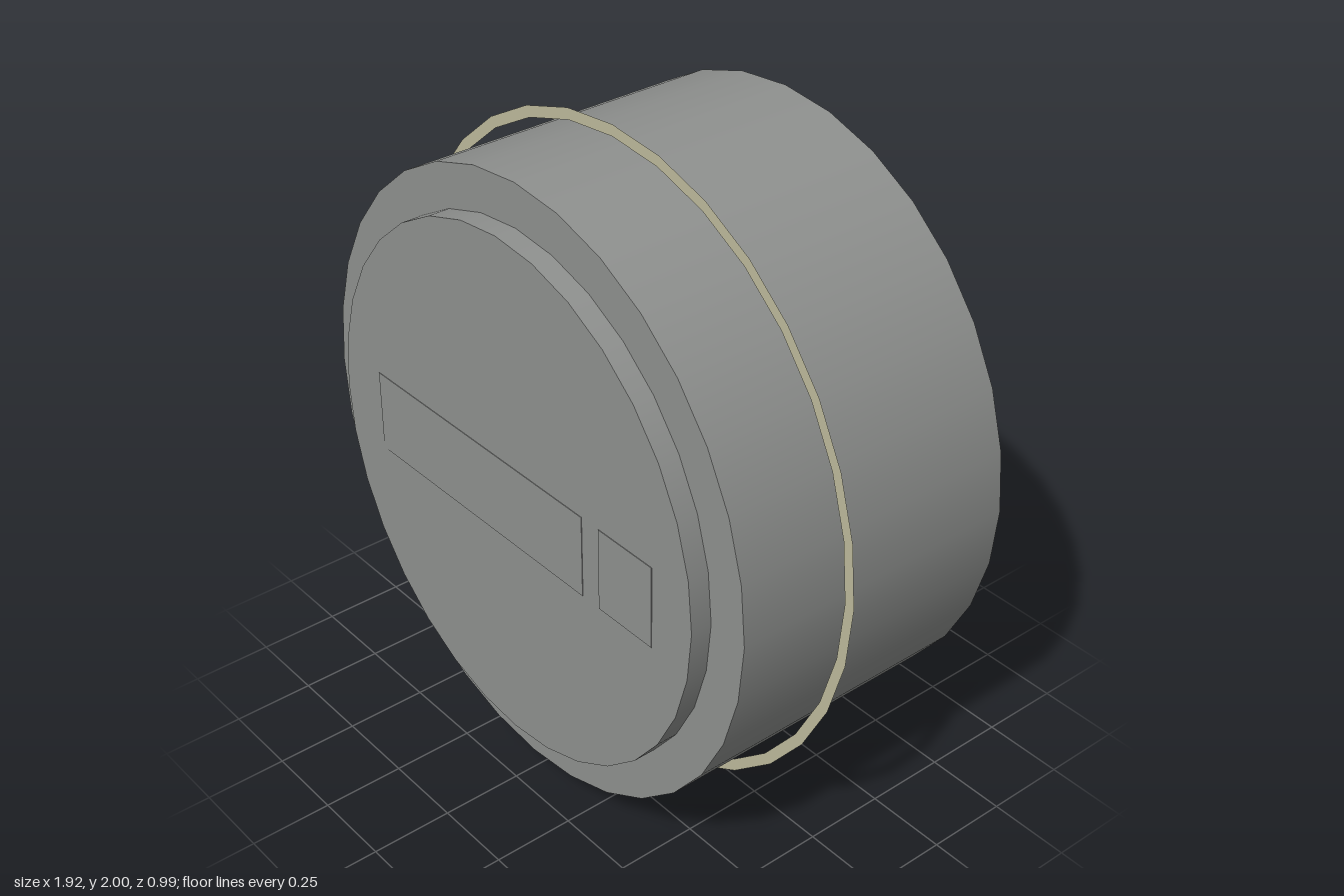
import * as THREE from 'three';

const SIDES = 32;

export function createModel() {
  const model = new THREE.Group();
  const grey = new THREE.MeshStandardMaterial({ color: 0x8f918f });
  grey.name = 'grey';
  const tan = new THREE.MeshStandardMaterial({ color: 0xbdba9c, side: THREE.DoubleSide });
  tan.name = 'tan';

  const add = (name, geometry, material) => {
    const mesh = new THREE.Mesh(geometry, material);
    mesh.name = name;
    model.add(mesh);
    return mesh;
  };

  // Slightly oval drum lying along z, between two depths
  const drum = (name, rx, ry, back, front) => {
    const geometry = new THREE.CylinderGeometry(1, 1, front - back, SIDES);
    geometry.rotateX(Math.PI / 2);
    geometry.scale(rx, ry, 1);
    geometry.translate(0, 1, (front + back) / 2);
    return add(name, geometry, grey);
  };

  drum('body', 0.9, 0.936, -0.495, 0.43);
  drum('frontDisc', 0.775, 0.806, 0.43, 0.495);

  // Flat oval band standing clear of the body
  const ring = new THREE.RingGeometry(0.966, 1, SIDES);
  ring.scale(0.962, 1, 1);
  ring.translate(0, 1, 0.113);
  add('outerRing', ring, tan);

  // Thin rectangular plates on the front disc
  const plate = (name, left, right) => {
    const geometry = new THREE.BoxGeometry(right - left, 0.255, 0.004);
    geometry.translate((left + right) / 2, 0.992, 0.495);
    add(name, geometry, grey);
  };
  plate('longPlate', -0.6, 0.335);
  plate('shortPlate', 0.405, 0.62);

  return model;
}
